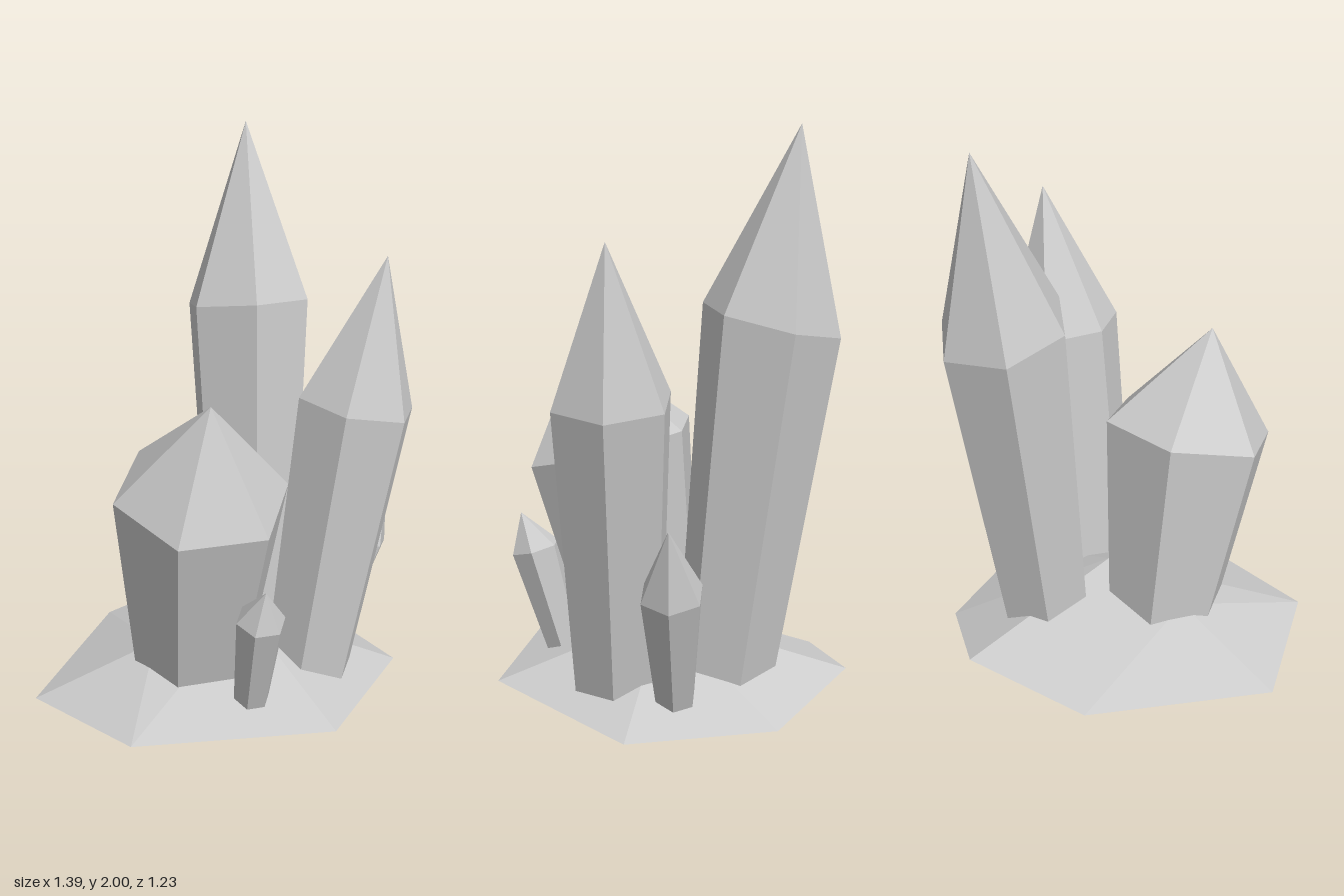
import * as THREE from 'three';

const V = (x, y, z) => new THREE.Vector3(x, y, z);

// Flat-shaded mesh from a list of triangles (three corners each)
function facetMesh(name, corners, side = THREE.FrontSide) {
  const geometry = new THREE.BufferGeometry().setFromPoints(corners);
  geometry.computeVertexNormals();
  const material = new THREE.MeshStandardMaterial({ color: 0xcccccc, flatShading: true, side });
  const mesh = new THREE.Mesh(geometry, material);
  mesh.name = name;
  return mesh;
}

// Hexagonal ring tilted by slopes sx, sz
function hexRing([x, y, z], r, turn, sx, sz) {
  return Array.from({ length: 6 }, (_, i) => {
    const a = THREE.MathUtils.degToRad(turn + i * 60);
    const dx = r * Math.cos(a), dz = r * Math.sin(a);
    return V(x + dx, y + sx * dx + sz * dz, z + dz);
  });
}

// Leaning crystal: narrow buried base, wide shoulder, pointed tip
function crystal({ name, base, baseR, shoulder, shoulderR, tip, turn = 0, sx = 0, sz = 0 }) {
  const lo = hexRing(base, baseR, turn, sx, sz);
  const hi = hexRing(shoulder, shoulderR, turn, sx, sz);
  const foot = V(...base), apex = V(...tip);
  const tris = [];
  for (let i = 0; i < 6; i++) {
    const j = (i + 1) % 6;
    tris.push(lo[i], hi[i], hi[j], lo[i], hi[j], lo[j]); // shaft
    tris.push(hi[i], apex, hi[j]); // point
    tris.push(lo[i], lo[j], foot); // bottom cap
  }
  return facetMesh(name, tris);
}

// Thin faceted mound with two low peaks
function rockBase() {
  const rim = [
    V(-0.70, 0.035, 0.08), V(-0.30, 0.035, -0.49), V(0.17, 0.10, -0.62), V(0.53, 0, -0.39),
    V(0.69, 0, 0.11), V(0.27, 0.05, 0.61), V(-0.45, 0.07, 0.54),
  ];
  const west = V(-0.25, 0.20, 0.08), east = V(0.10, 0.26, 0.04);
  const tris = [];
  rim.forEach((p, i) => {
    const q = rim[(i + 1) % rim.length];
    tris.push(i === 0 || i === 6 ? west : east, q, p);
  });
  tris.push(west, east, rim[1], east, west, rim[6]); // saddle between the peaks
  return facetMesh('rockBase', tris, THREE.DoubleSide);
}

export function createModel() {
  const model = new THREE.Group();
  model.name = 'crystalCluster';
  model.add(rockBase());
  const crystals = [
    { name: 'tallCrystal', base: [0.205, 0.05, -0.187], baseR: 0.168, shoulder: [0.228, 1.345, -0.345],
      shoulderR: 0.238, tip: [0.245, 2, -0.44], turn: -21, sz: 0.234 },
    { name: 'mediumCrystal', base: [0.312, 0.05, 0.17], baseR: 0.162, shoulder: [0.475, 1.10, 0.17],
      shoulderR: 0.215, tip: [0.57, 1.63, 0.175], sx: -0.185 },
    { name: 'broadCrystal', base: [-0.115, 0.09, 0.117], baseR: 0.212, shoulder: [-0.115, 0.85, 0.247],
      shoulderR: 0.315, tip: [-0.115, 1.215, 0.363], sz: -0.26 },
    { name: 'smallFrontCrystal', base: [0.02, 0.075, 0.40], baseR: 0.062, shoulder: [0.02, 0.475, 0.513],
      shoulderR: 0.088, tip: [0.02, 0.605, 0.565], sz: -0.27 },
    { name: 'smallSideCrystal', base: [0.445, 0.04, -0.038], baseR: 0.068, shoulder: [0.58, 0.48, -0.038],
      shoulderR: 0.112, tip: [0.69, 0.72, -0.037], sx: -0.35 },
  ];
  for (const spec of crystals) model.add(crystal(spec));
  return model;
}
